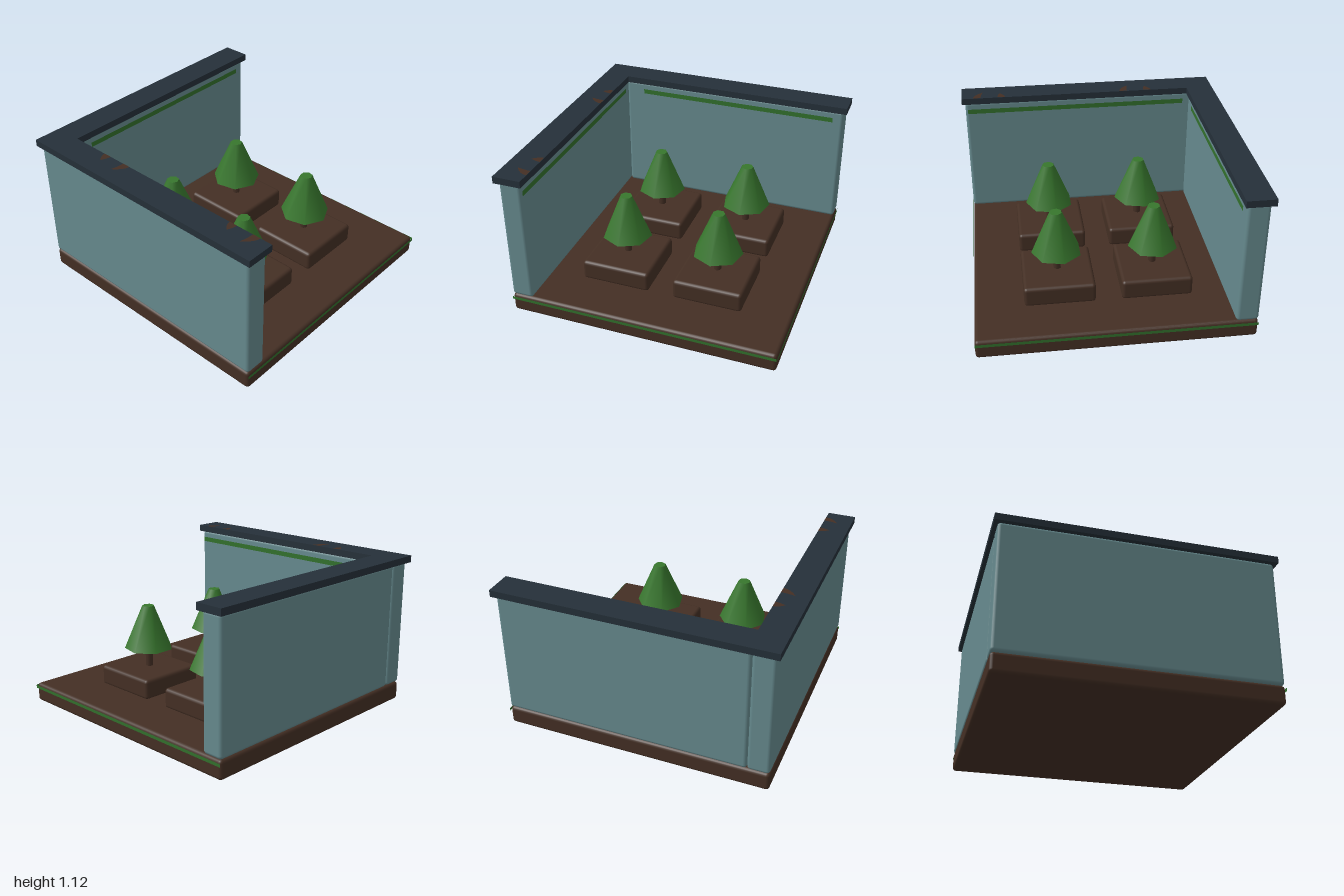
import * as THREE from 'three';
import { RoundedBoxGeometry } from 'three/addons/geometries/RoundedBoxGeometry.js';

const material = (name, color, side = THREE.FrontSide) =>
  new THREE.MeshStandardMaterial({ name, color, side });

export function createModel() {
  const model = new THREE.Group();
  model.name = 'walledGarden';
  const soil = material('soilBrown', 0x442f24);
  const wall = material('wallTeal', 0x668a8e);
  const coping = material('copingSlate', 0x253039);
  const green = material('leafGreen', 0x37762d);
  const trim = material('trimGreen', 0x32702c, THREE.DoubleSide);

  const add = (parent, name, geometry, mat, x = 0, y = 0, z = 0) => {
    const mesh = new THREE.Mesh(geometry, mat);
    mesh.name = name;
    mesh.position.set(x, y, z);
    parent.add(mesh);
    return mesh;
  };
  // Box given by its minimum and maximum corners, optionally rounded
  const block = (parent, name, mat, [x0, y0, z0], [x1, y1, z1], radius = 0) => {
    const size = [x1 - x0, y1 - y0, z1 - z0];
    const geometry = radius
      ? new RoundedBoxGeometry(...size, 2, radius)
      : new THREE.BoxGeometry(...size);
    return add(parent, name, geometry, mat, (x0 + x1) / 2, (y0 + y1) / 2, (z0 + z1) / 2);
  };

  // Ground slab and the two walls, the right one running the full depth
  block(model, 'groundSlab', soil, [-0.975, 0, -0.975], [0.975, 0.14, 0.975], 0.025);
  block(model, 'sideWall', wall, [-0.975, 0.14, -0.975], [-0.815, 1.075, 0.975], 0.025);
  block(model, 'backWall', wall, [-0.815, 0.14, -0.975], [0.975, 1.075, -0.815], 0.025);

  // L-shaped coping over the walls
  block(model, 'sideCoping', coping, [-1, 1.07, -1], [-0.795, 1.12, 1]);
  block(model, 'backCoping', coping, [-0.795, 1.07, -1], [1, 1.12, -0.795]);

  // Flat green trim strips on the slab edges and along the tops of the walls
  const strip = (name, length, height, x, y, z, turned) => {
    const mesh = add(model, name, new THREE.PlaneGeometry(length, height), trim, x, y, z);
    if (turned) mesh.rotation.y = Math.PI / 2;
  };
  strip('frontTrim', 1.95, 0.023, 0, 0.111, 0.981, false);
  strip('leftTrim', 1.95, 0.023, 0.981, 0.111, 0, true);
  strip('backWallTrim', 1.56, 0.037, 0.115, 1.002, -0.809, false);
  strip('sideWallTrim', 1.725, 0.037, -0.809, 1.002, 0.094, true);

  // Small brown flecks on the inner edge of the side coping
  const fleck = (tipX, tipZ, z0, z1) => {
    const shape = new THREE.Shape();
    shape.moveTo(-0.796, -z0);
    shape.quadraticCurveTo((tipX - 0.796) / 2, -z0, tipX, -tipZ);
    shape.quadraticCurveTo((tipX - 0.796) / 2, -z1, -0.796, -z1);
    const geometry = new THREE.ShapeGeometry(shape, 4);
    geometry.rotateX(-Math.PI / 2);
    add(model, 'copingFleck', geometry, fleckMaterial, 0, 1.122, 0);
  };
  const fleckMaterial = material('fleckBrown', 0x442f24, THREE.DoubleSide);
  for (const offset of [0, 1.16]) {
    fleck(-0.87, -0.46 + offset, -0.5 + offset, -0.44 + offset);
    fleck(-0.9, -0.325 + offset, -0.31 + offset, -0.25 + offset);
  }

  // Four planters, each with a seven-sided tree
  const planterGeometry = new RoundedBoxGeometry(0.51, 0.15, 0.51, 2, 0.025);
  const trunkGeometry = new THREE.CylinderGeometry(0.028, 0.028, 0.18, 7);
  const crownGeometry = new THREE.CylinderGeometry(0.045, 0.182, 0.325, 7);
  for (const x of [-0.33, 0.367]) {
    for (const z of [-0.33, 0.367]) {
      const plot = new THREE.Group();
      plot.name = 'treePlot';
      plot.position.set(x, 0, z);
      add(plot, 'planter', planterGeometry, soil, 0, 0.205, 0);
      add(plot, 'trunk', trunkGeometry, soil, 0, 0.35, 0);
      add(plot, 'crown', crownGeometry, green, 0, 0.585, 0);
      model.add(plot);
    }
  }
  return model;
}
